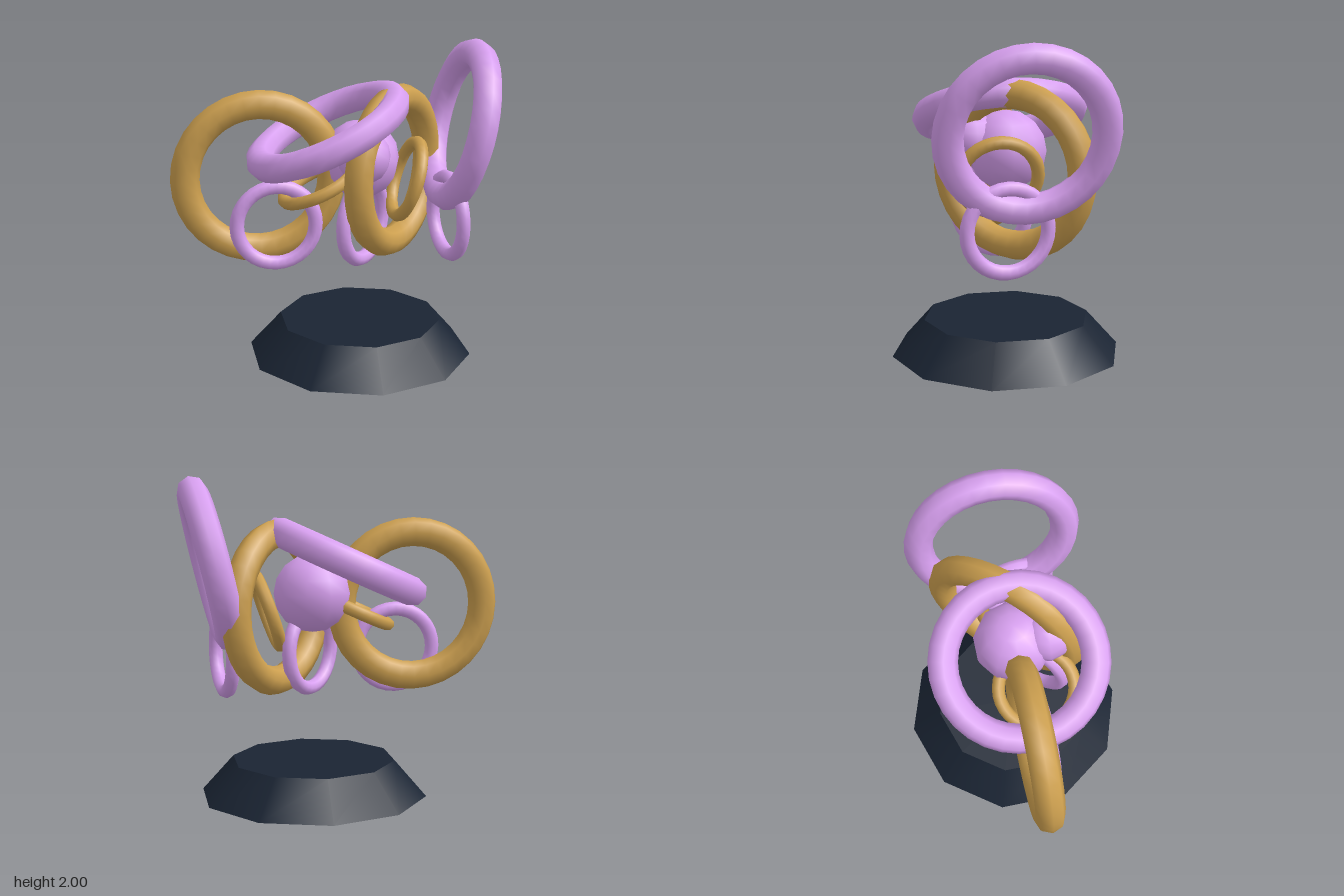
import * as THREE from 'three';

const gold = new THREE.MeshStandardMaterial({ color: 0xcc9f4f });
const violet = new THREE.MeshStandardMaterial({ color: 0xd8a0f0 });
const navy = new THREE.MeshStandardMaterial({ color: 0x1a2433 });

export function createModel() {
  const model = new THREE.Group();
  model.name = 'ringSculpture';

  function add(name, geometry, material, x, y, z) {
    const mesh = new THREE.Mesh(geometry, material);
    mesh.name = name;
    mesh.position.set(x, y, z);
    model.add(mesh);
    return mesh;
  }

  // Ten-sided tapered plinth
  add('plinth', new THREE.CylinderGeometry(0.515, 0.715, 0.225, 10), navy, 0.18, 0.1125, 0);

  // Core ball with a smaller ball budding from its front
  add('coreBall', new THREE.SphereGeometry(0.245, 10, 8), violet, 0.18, 1.275, 0);
  add('frontBall', new THREE.SphereGeometry(0.165, 10, 8), violet, 0.16, 1.34, 0.2);

  // Upright rings, each turned further about the vertical axis
  const upright = [
    ['largeUprightRing', gold, 0.455, 0.09, -0.455, 1.19, 0, 0],
    ['largeUprightRing', gold, 0.455, 0.09, 0.395, 1.19, 0, 0.86],
    ['smallUprightRing', violet, 0.245, 0.045, -0.365, 0.905, 0.098, 0],
    ['smallUprightRing', violet, 0.245, 0.045, 0.18, 0.905, 0.098, 0.85],
    ['smallUprightRing', violet, 0.245, 0.045, 0.725, 0.905, 0.098, 1.7],
  ];
  for (const [name, material, R, r, x, y, z, turn] of upright) {
    add(name, new THREE.TorusGeometry(R, r, 8, 32), material, x, y, z).rotation.y = turn;
  }

  // Flat rings tipped up towards +x
  const tipped = [
    ['largeTippedRing', violet, 0.455, 0.09, -0.03, 1.465, 0, 0.43],
    ['largeTippedRing', violet, 0.455, 0.09, 0.81, 1.465, 0, 1.34],
    ['smallTippedRing', gold, 0.235, 0.04, -0.1, 1.155, 0.09, 0.43],
    ['smallTippedRing', gold, 0.235, 0.04, 0.453, 1.16, 0.098, 1.25],
  ];
  for (const [name, material, R, r, x, y, z, tip] of tipped) {
    const ring = new THREE.TorusGeometry(R, r, 8, 32).rotateX(Math.PI / 2);
    add(name, ring, material, x, y, z).rotation.z = tip;
  }

  return model;
}
